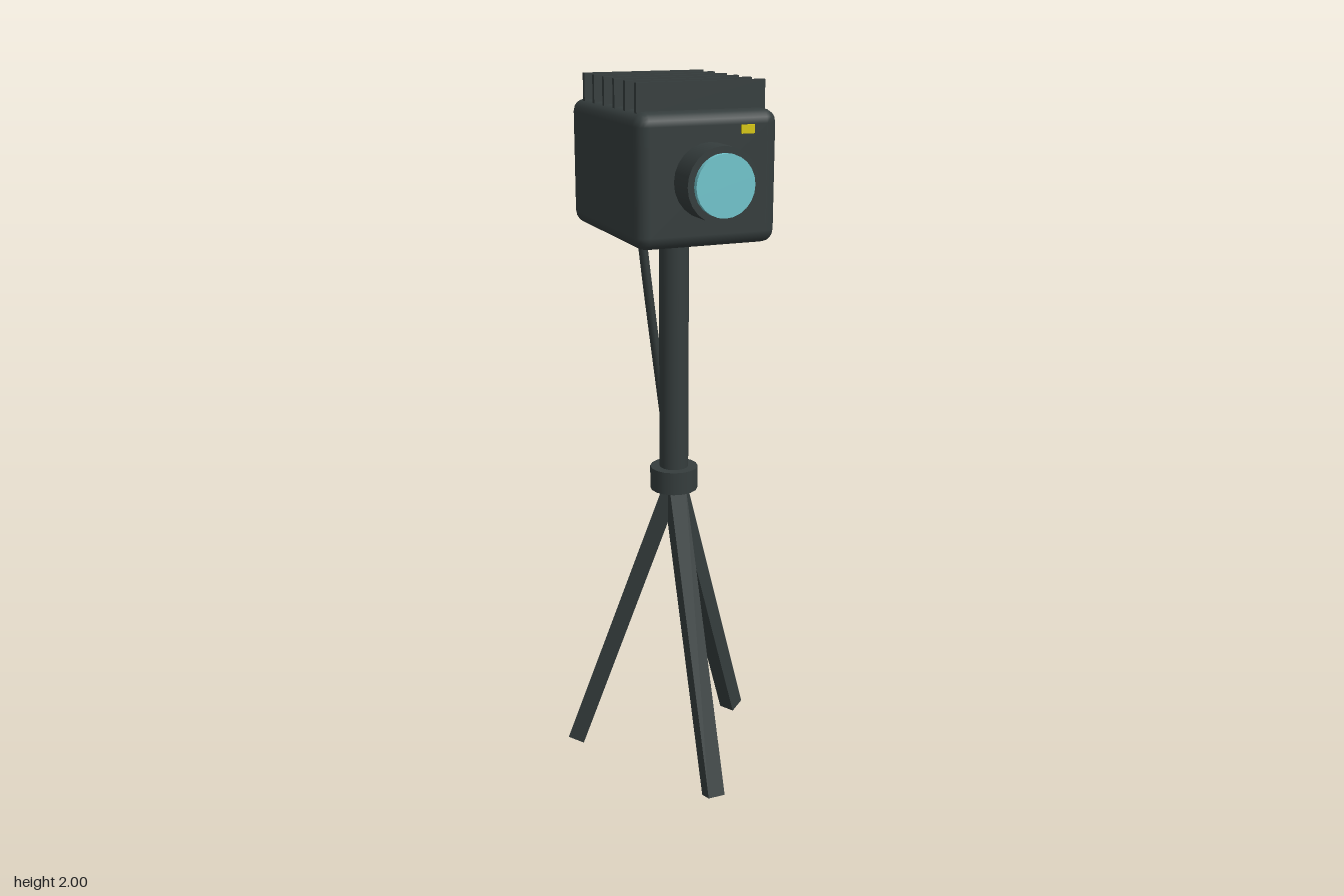
import * as THREE from 'three';
import { RoundedBoxGeometry } from 'three/addons/geometries/RoundedBoxGeometry.js';

const mat = (name, color) => {
  const m = new THREE.MeshStandardMaterial({ color });
  m.name = name;
  return m;
};

export function createModel() {
  const root = new THREE.Group();
  root.name = 'tripodCamera';
  const dark = mat('dark grey', 0x353d3d);
  const yellow = mat('yellow', 0xd8c80f);
  const glass = mat('pale cyan glass', 0x72c6ce);

  const add = (name, geo, material, x = 0, y = 0, z = 0) => {
    const m = new THREE.Mesh(geo, material);
    m.name = name;
    m.position.set(x, y, z);
    root.add(m);
    return m;
  };

  // Housing
  add('housing', new RoundedBoxGeometry(0.386, 0.34, 0.52, 2, 0.034), dark, 0, 1.76, -0.025);

  // Cooling fins across the top
  for (let i = 0; i < 6; i++) {
    add('coolingFin', new THREE.BoxGeometry(0.35, 0.08, 0.014), dark, 0, 1.96, 0.177 - i * 0.079);
  }

  // Lens barrel and glass
  add('lensBarrel', new THREE.CylinderGeometry(0.096, 0.096, 0.1, 24), dark, 0, 1.76, 0.273).rotation.x = Math.PI / 2;
  add('lensGlass', new THREE.CylinderGeometry(0.079, 0.079, 0.03, 24), glass, 0, 1.76, 0.323).rotation.x = Math.PI / 2;

  // Yellow marker plates
  add('frontMarker', new THREE.BoxGeometry(0.036, 0.022, 0.009), yellow, 0.103, 1.884, 0.2375);
  add('sideLabel', new THREE.BoxGeometry(0.006, 0.072, 0.14), yellow, 0.193, 1.76, -0.006);

  // Mast and collar
  add('mast', new THREE.CylinderGeometry(0.041, 0.041, 0.75, 16), dark, 0, 1.235, 0);
  add('collar', new THREE.CylinderGeometry(0.068, 0.068, 0.066, 16), dark, 0, 0.888, 0);

  // Three splayed legs, one to the front
  const top = new THREE.Vector3(0, 0.87, 0);
  const foot = new THREE.Vector3(0, 0.009, 0.302);
  const length = top.distanceTo(foot);
  const tilt = Math.atan2(foot.z, top.y - foot.y);
  for (let i = 0; i < 3; i++) {
    const leg = new THREE.Group();
    leg.name = 'leg';
    leg.rotation.y = (i * Math.PI * 2) / 3;
    const bar = new THREE.Mesh(new THREE.BoxGeometry(0.05, length, 0.05), dark);
    bar.name = 'legBar';
    bar.position.copy(top).lerp(foot, 0.5);
    bar.rotation.x = -tilt;
    leg.add(bar);
    root.add(leg);
  }

  // Cable hanging from the back, with closed ends
  const path = new THREE.CatmullRomCurve3([
    [0, 1.67, -0.287], [0.04, 1.38, -0.305], [0.1, 0.95, -0.32],
    [0.16, 0.49, -0.325], [0.21, 0.03, -0.319],
  ].map(p => new THREE.Vector3(...p)));
  add('cable', new THREE.TubeGeometry(path, 20, 0.014, 6), dark);
  for (const t of [0, 1]) {
    const p = path.getPoint(t);
    const cap = add('cableEnd', new THREE.CircleGeometry(0.014, 6), dark, p.x, p.y, p.z);
    const out = path.getTangent(t).multiplyScalar(t ? 1 : -1);
    cap.quaternion.setFromUnitVectors(new THREE.Vector3(0, 0, 1), out);
  }

  return root;
}
